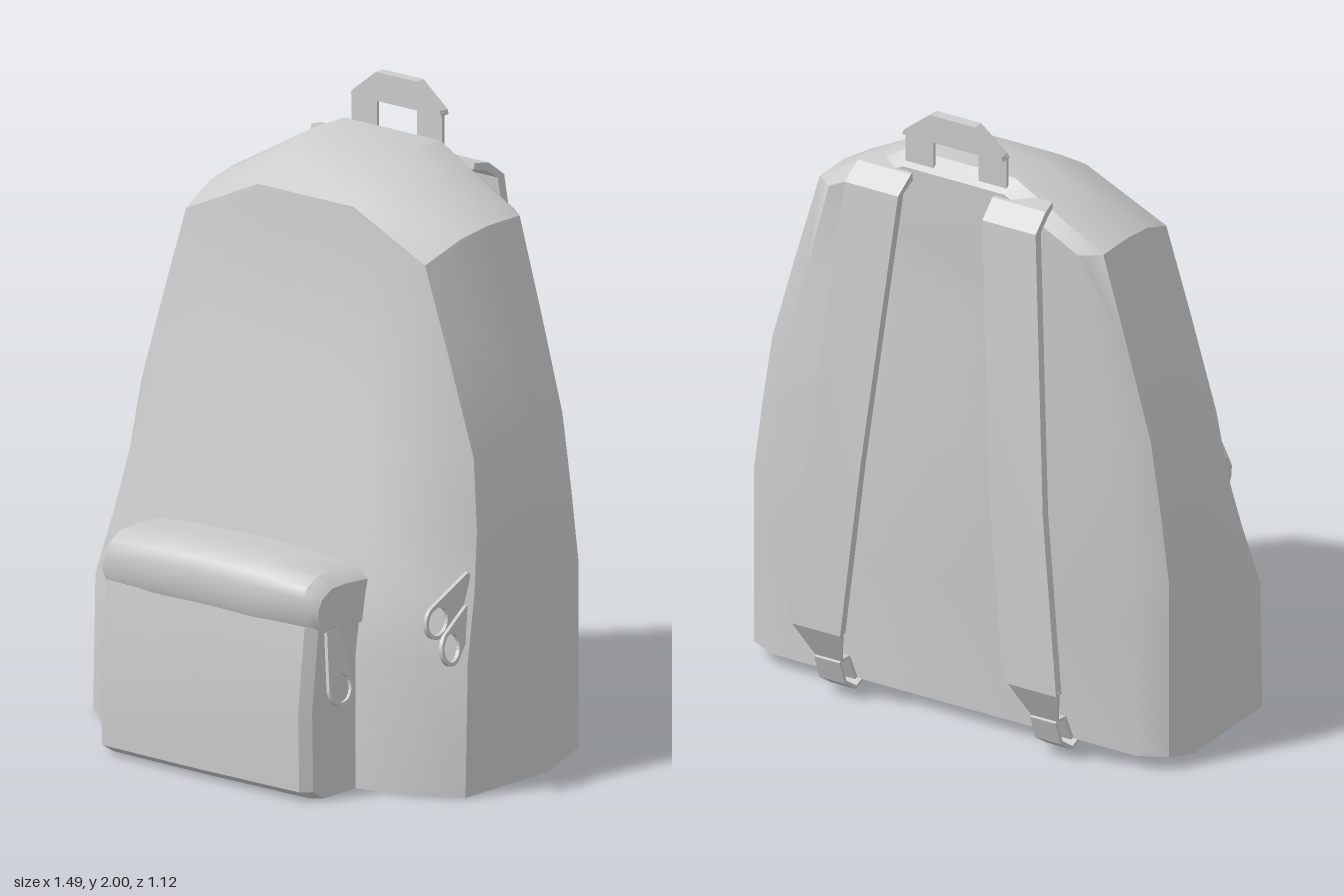
import * as THREE from 'three';
import { toCreasedNormals } from 'three/addons/utils/BufferGeometryUtils.js';

const material = new THREE.MeshStandardMaterial({ color: 0xcccccc, side: THREE.DoubleSide });

function addMesh(group, name, geometry) {
  const mesh = new THREE.Mesh(geometry, material);
  mesh.name = name;
  group.add(mesh);
  return mesh;
}

// Skin over closed rings of [x, y, z], each clockwise as seen from the last ring's end
function loft(rings, crease = 0.6) {
  const n = rings[0].length, pos = [];
  const quad = (a, b, c, d) => [a, b, c, a, c, d].forEach((p) => pos.push(...p));
  for (let i = 0; i < rings.length - 1; i++) {
    for (let j = 0; j < n; j++) {
      const k = (j + 1) % n;
      quad(rings[i][j], rings[i + 1][j], rings[i + 1][k], rings[i][k]);
    }
  }
  const first = rings[0], last = rings[rings.length - 1];
  for (let j = 0; j < n / 2 - 1; j++) {
    quad(first[j], first[j + 1], first[n - 2 - j], first[n - 1 - j]);
    quad(last[n - 1 - j], last[n - 2 - j], last[j + 1], last[j]);
  }
  const g = new THREE.BufferGeometry();
  g.setAttribute('position', new THREE.Float32BufferAttribute(pos, 3));
  return toCreasedNormals(g, crease);
}

// Flat band along a path; each point is [x, y, z, width, thickness]
function band(path) {
  const X = new THREE.Vector3(1, 0, 0);
  const rings = path.map(([x, y, z, w, t], i) => {
    const a = path[Math.max(i - 1, 0)], b = path[Math.min(i + 1, path.length - 1)];
    const normal = new THREE.Vector3(0, b[1] - a[1], b[2] - a[2]).cross(X).normalize();
    return [[1, 1], [1, -1], [-1, -1], [-1, 1]].map(([u, v]) => [
      x + u * w / 2, y + v * normal.y * t / 2, z + v * normal.z * t / 2]);
  });
  return loft(rings, 0.3);
}

// Main bag: rows of horizontal sections, mirrored left to right
function bodyGeometry() {
  // [side x, side y, rim x, rim y, rim z, front z]
  const rows = [
    [0.74, 0, 0.74, 0, 0.19, 0.33],
    [0.74, 0.45, 0.74, 0.42, 0.18, 0.33],
    [0.74, 0.62, 0.715, 0.62, 0.12, 0.3],
    [0.71, 0.85, 0.69, 0.8, 0.08, 0.255],
    [0.675, 1.08, 0.66, 1.02, 0.06, 0.205],
    [0.59, 1.38, 0.565, 1.32, 0.065, 0.13],
    [0.505, 1.665, 0.475, 1.59, 0.07, 0.085],
    [0.19, 1.84, 0.19, 1.72, 0.07, 0.07],
  ];
  const rings = rows.map(([sx, sy, rx, ry, rz, fz], i) => {
    const top = i === rows.length - 1, lift = i === 0 ? 0.045 : 0;
    const mix = (a, b, t) => a + (b - a) * t;
    const right = [
      [sx * (top ? 0.95 : 0.88), sy + lift - (top ? 0.04 : 0), -0.375],
      [sx, sy + lift, -0.33],
      [sx, sy, -0.19],
      [mix(sx, rx, 0.25), mix(sy, ry, 0.25), -0.07],
      [rx, ry, rz],
      [rx * 0.84, ry, mix(rz, fz, 0.55)],
      [rx * 0.58, ry, mix(rz, fz, 0.97)],
      [rx * 0.2, ry, fz],
    ];
    return [...right, ...right.map(([x, y, z]) => [-x, y, z]).reverse()];
  });
  return loft(rings, 0.65);
}

// Zip pull: tapered tab with a ring at its end, lying from start to the ring centre
function pullGeometry(start, end) {
  const s = new THREE.Vector3(...start), dir = new THREE.Vector3(...end).sub(s);
  const length = dir.length(), r = 0.056;
  const shape = new THREE.Shape();
  shape.moveTo(0.03, 0);
  shape.lineTo(r, -length);
  shape.absarc(0, -length, r, 0, -Math.PI, true);
  shape.lineTo(-0.03, 0);
  const hole = new THREE.Path();
  hole.absarc(0, -length, r * 0.78, 0, Math.PI * 2, false);
  shape.holes.push(hole);
  const g = new THREE.ExtrudeGeometry(shape, { depth: 0.012, bevelEnabled: false, curveSegments: 10 });
  const up = dir.normalize().negate();
  const out = new THREE.Vector3(1, 0, 0).addScaledVector(up, -up.x).normalize();
  const side = new THREE.Vector3().crossVectors(up, out);
  return g.applyMatrix4(new THREE.Matrix4().makeBasis(side, up, out).setPosition(s));
}

export function createModel() {
  const bag = new THREE.Group();
  bag.name = 'backpack';
  addMesh(bag, 'mainBody', bodyGeometry());

  // Front pocket, skinned sideways from [z, y] profiles
  const pocketStations = [[-0.42, -0.03], [-0.39, 0], [0, 0.006], [0.39, 0], [0.42, -0.03]];
  const pocketProfile = [[0.26, 0], [0.5, 0], [0.55, 0.03], [0.555, 0.28], [0.525, 0.54], [0.26, 0.54]];
  addMesh(bag, 'frontPocket', loft(pocketStations.map(([x, dz]) =>
    pocketProfile.map(([z, y]) => [x, y, z > 0.3 ? z + dz : z])), 0.4));

  // Padded pocket lid, lower at its ends
  const lidStations = [[-0.43, -0.035, -0.045], [-0.39, -0.01, -0.01], [-0.2, 0, 0.003], [0, 0, 0.006],
    [0.2, 0, 0.003], [0.39, -0.01, -0.01], [0.43, -0.035, -0.045]];
  const lidProfile = [[0.24, 0.52], [0.52, 0.52], [0.54, 0.56], [0.543, 0.64], [0.525, 0.672],
    [0.48, 0.697], [0.38, 0.7], [0.24, 0.69]];
  addMesh(bag, 'pocketLid', loft(lidStations.map(([x, dz, dy]) =>
    lidProfile.map(([z, y]) => [x, y > 0.6 ? y + dy : y, z > 0.45 ? z + dz : z])), 0.75));

  // Shoulder straps with their lower webbing and loops
  for (const [side, label] of [[1, 'left'], [-1, 'right']]) {
    const strap = new THREE.Group();
    strap.name = label + 'Strap';
    const mirrored = (path) => band(path.map(([x, ...rest]) => [x * side, ...rest]));
    addMesh(strap, 'shoulderPad', mirrored([
      [0.24, 1.785, -0.33, 0.17, 0.02], [0.24, 1.775, -0.38, 0.19, 0.025],
      [0.245, 1.735, -0.435, 0.19, 0.03], [0.325, 0.85, -0.52, 0.19, 0.03],
      [0.385, 0.27, -0.54, 0.19, 0.03]]));
    addMesh(strap, 'webbing', mirrored([
      [0.385, 0.28, -0.54, 0.19, 0.012], [0.385, 0.14, -0.465, 0.09, 0.012],
      [0.385, 0.135, -0.425, 0.09, 0.012], [0.385, 0.05, -0.385, 0.09, 0.012]]));
    addMesh(strap, 'anchorLoop', mirrored([
      [0.385, 0.14, -0.475, 0.09, 0.012], [0.385, 0.06, -0.445, 0.09, 0.012],
      [0.385, 0.018, -0.385, 0.09, 0.012], [0.385, 0.04, -0.32, 0.09, 0.012]]));
    bag.add(strap);
  }

  // Carry handle: two webbing legs and a thick grip
  const handle = new THREE.Group();
  handle.name = 'carryHandle';
  for (const side of [1, -1]) {
    const leg = addMesh(handle, 'handleLeg', new THREE.BoxGeometry(0.1, 0.15, 0.01));
    leg.position.set(side * 0.13, 1.845, -0.355);
  }
  const grip = new THREE.Shape([[-0.18, 1.91], [0.18, 1.91], [0.175, 1.925], [0.08, 2], [-0.08, 2], [-0.175, 1.925]]
    .map(([x, y]) => new THREE.Vector2(x, y)));
  addMesh(handle, 'handleGrip', new THREE.ExtrudeGeometry(grip, { depth: 0.035, bevelEnabled: false }))
    .position.z = -0.38;
  bag.add(handle);

  // Zip pulls on the left side
  addMesh(bag, 'upperZipPull', pullGeometry([0.685, 0.66, 0.11], [0.685, 0.56, 0.265]));
  addMesh(bag, 'lowerZipPull', pullGeometry([0.69, 0.57, 0.11], [0.725, 0.48, 0.25]));
  addMesh(bag, 'pocketZipPull', pullGeometry([0.42, 0.52, 0.44], [0.452, 0.345, 0.44]));

  return bag;
}
